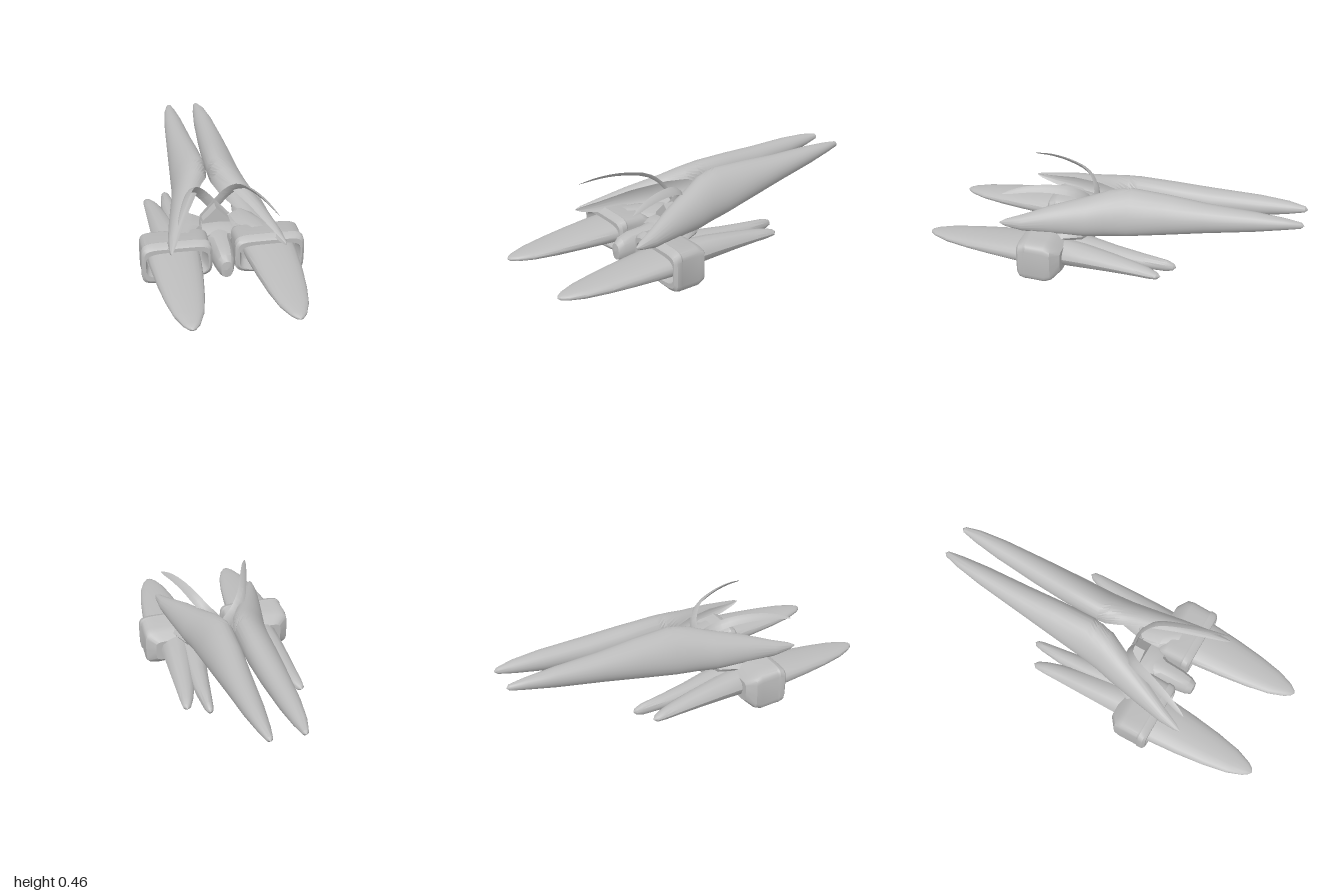
import * as THREE from 'three';
import { toCreasedNormals } from 'three/addons/utils/BufferGeometryUtils.js';

const hull = new THREE.MeshStandardMaterial({ color: 0xbcbcbc, side: THREE.DoubleSide });
hull.name = 'hull grey';

// Skin a list of cross-sections with equal point counts
function loft(sections) {
  const n = sections[0].length, pos = [], idx = [];
  sections.forEach(s => s.forEach(p => pos.push(p.x, p.y, p.z)));
  for (let i = 0; i < sections.length - 1; i++) {
    for (let j = 0; j < n - 1; j++) {
      const a = i * n + j, b = a + 1, c = a + n, d = c + 1;
      idx.push(a, b, c, b, d, c);
    }
  }
  const g = new THREE.BufferGeometry();
  g.setAttribute('position', new THREE.Float32BufferAttribute(pos, 3));
  g.setIndex(idx);
  return toCreasedNormals(g, 0.6);
}

// Tilted superellipse at depth z; gap opens it symmetrically around the inner side
function ring([z, cx, cy, rx, ry, gap = 0], { tilt = 0, n = 20, power = 1 } = {}) {
  const pts = [];
  for (let j = 0; j <= n; j++) {
    const a = -Math.PI + gap + (2 * (Math.PI - gap) * j) / n;
    const c = Math.cos(a), s = Math.sin(a);
    const u = Math.sign(c) * Math.abs(c) ** power * rx;
    const v = Math.sign(s) * Math.abs(s) ** power * ry;
    pts.push(new THREE.Vector3(
      cx + u * Math.cos(tilt) - v * Math.sin(tilt),
      cy + u * Math.sin(tilt) + v * Math.cos(tilt), z));
  }
  return pts;
}

const rings = (rows, opt) => loft(rows.map(r => ring(r, opt)));

function add(group, name, geometry) {
  const m = new THREE.Mesh(geometry, hull);
  m.name = name;
  group.add(m);
}

// Flat tapering horn swept along a curve
function horn() {
  const curve = new THREE.CatmullRomCurve3([
    [-0.06, 0.21, 0.14], [0.01, 0.285, 0.13], [0.07, 0.355, 0.14], [0.125, 0.415, 0.2],
    [0.17, 0.442, 0.32], [0.213, 0.44, 0.45], [0.25, 0.418, 0.56],
  ].map(p => new THREE.Vector3(...p)));
  const sections = [];
  for (let i = 0; i <= 18; i++) {
    const t = i / 18, p = curve.getPoint(t), dir = curve.getTangent(t);
    const side = new THREE.Vector3(0.7, -0.65, -0.3).cross(dir).cross(dir).normalize();
    const up = side.clone().cross(dir);
    const w = 0.032 * Math.sqrt(1 - 0.995 * t * t);
    sections.push([[1, 0], [0, 0.3], [-1, 0], [0, -0.3], [1, 0]].map(([a, b]) =>
      p.clone().addScaledVector(side, a * w).addScaledVector(up, b * w)));
  }
  return loft(sections);
}

// Boxy housing with a rim and an oval recess; its underside rises toward the centre
function housing() {
  const rows = [
    [0.21, 0.23, 0.115, 0.001, 0.001], [0.21, 0.235, 0.115, 0.13, 0.06],
    [0.25, 0.24, 0.115, 0.175, 0.098], [0.285, 0.24, 0.115, 0.178, 0.115],
    [0.385, 0.24, 0.115, 0.175, 0.115], [0.395, 0.24, 0.118, 0.181, 0.115],
    [0.422, 0.24, 0.118, 0.181, 0.106], [0.435, 0.24, 0.12, 0.168, 0.092],
  ].map(r => ring(r, { n: 32, power: 0.32 }));
  const recess = [
    [0.435, 0.24, 0.12, 0.16, 0.072], [0.36, 0.245, 0.12, 0.142, 0.062],
    [0.33, 0.245, 0.12, 0.001, 0.001],
  ].map(r => ring(r, { n: 32, power: 0.5 }));
  rows.flat().forEach(p => {
    if (p.y < 0.1) p.y += 0.12 * Math.max(0, 0.28 - p.x);
  });
  return loft([...rows, ...recess]);
}

function buildSide(name) {
  const g = new THREE.Group();
  g.name = name;

  // Long hollow shell: closed at the back, opening into a scoop at the front
  add(g, 'rearShell', rings([
    [-1, 0.085, 0.39, 0.001, 0.001], [-0.985, 0.085, 0.39, 0.016, 0.016],
    [-0.9, 0.088, 0.387, 0.036, 0.031], [-0.75, 0.09, 0.376, 0.055, 0.052],
    [-0.5, 0.092, 0.356, 0.072, 0.078], [-0.3, 0.094, 0.344, 0.081, 0.105],
    [-0.1, 0.1, 0.331, 0.084, 0.128], [-0.05, 0.105, 0.326, 0.084, 0.128, 0.55],
    [0.02, 0.115, 0.316, 0.084, 0.124, 1], [0.12, 0.145, 0.298, 0.077, 0.11, 1.3],
    [0.3, 0.2, 0.28, 0.06, 0.079, 1.5], [0.45, 0.25, 0.263, 0.038, 0.045, 1.5],
    [0.54, 0.275, 0.261, 0.018, 0.02, 1.5], [0.57, 0.285, 0.262, 0.004, 0.004, 1.5],
  ], { tilt: 0.5, n: 24 }));

  // Flat front blade with a rounded nose
  add(g, 'frontBlade', rings([
    [0.34, 0.25, 0.122, 0.137, 0.06], [0.45, 0.25, 0.122, 0.131, 0.055],
    [0.6, 0.251, 0.121, 0.117, 0.045], [0.75, 0.251, 0.119, 0.097, 0.035],
    [0.88, 0.251, 0.118, 0.071, 0.025], [0.96, 0.251, 0.118, 0.04, 0.016],
    [0.99, 0.251, 0.118, 0.018, 0.01], [1, 0.251, 0.118, 0.001, 0.001],
  ], { power: 0.85 }));

  add(g, 'housing', housing());

  // Pair of broad rear fins meeting in a notch
  add(g, 'outerFin', rings([
    [0.24, 0.25, 0.12, 0.085, 0.068], [0.1, 0.262, 0.12, 0.074, 0.06],
    [-0.05, 0.276, 0.115, 0.06, 0.046], [-0.18, 0.289, 0.108, 0.046, 0.034],
    [-0.25, 0.3, 0.104, 0.035, 0.028], [-0.3, 0.309, 0.1, 0.022, 0.018],
    [-0.32, 0.311, 0.1, 0.001, 0.001],
  ], { n: 12 }));
  add(g, 'innerFin', rings([
    [0.24, 0.16, 0.12, 0.085, 0.068], [0.1, 0.175, 0.12, 0.07, 0.058],
    [-0.05, 0.192, 0.115, 0.055, 0.046], [-0.2, 0.2, 0.107, 0.042, 0.038],
    [-0.33, 0.202, 0.101, 0.025, 0.031], [-0.365, 0.202, 0.1, 0.016, 0.018],
    [-0.378, 0.202, 0.1, 0.001, 0.001],
  ], { n: 12 }));

  // Strut joining the shell to the body
  add(g, 'shellStrut', rings([
    [0.1, 0.14, 0.21, 0.02, 0.02], [0.14, 0.14, 0.2, 0.075, 0.035],
    [0.24, 0.17, 0.2, 0.09, 0.035], [0.32, 0.2, 0.21, 0.06, 0.025],
  ], { n: 10 }));
  add(g, 'horn', horn());
  return g;
}

export function createModel() {
  const model = new THREE.Group();
  model.name = 'twinHullCraft';
  const left = buildSide('leftSide'), right = buildSide('rightSide');
  right.scale.x = -1;
  model.add(left, right);

  // Central nose pod
  add(model, 'nosePod', rings([
    [0.2, 0, 0.12, 0.1, 0.08], [0.27, 0, 0.12, 0.085, 0.085], [0.32, 0, 0.12, 0.06, 0.08],
    [0.42, 0, 0.122, 0.054, 0.074], [0.48, 0, 0.118, 0.044, 0.062],
    [0.51, 0, 0.11, 0.03, 0.045], [0.515, 0, 0.11, 0.001, 0.001],
  ], { n: 12, power: 0.8 }));

  // Cross body linking both housings
  add(model, 'crossBody', rings([
    [0.12, 0, 0.14, 0.001, 0.001], [0.12, 0, 0.15, 0.09, 0.05], [0.17, 0, 0.13, 0.15, 0.085],
    [0.25, 0, 0.125, 0.13, 0.085], [0.29, 0, 0.125, 0.1, 0.07], [0.29, 0, 0.125, 0.001, 0.001],
  ], { n: 16, power: 0.7 }));

  // Peaked roof carrying the horns
  const peak = new THREE.Shape([[-0.085, 0.18], [0.085, 0.18], [0.07, 0.225], [0, 0.295], [-0.07, 0.225]]
    .map(p => new THREE.Vector2(...p)));
  const roof = new THREE.ExtrudeGeometry(peak, { depth: 0.08, bevelEnabled: false });
  roof.translate(0, 0, 0.12);
  add(model, 'hornMount', roof);
  return model;
}
